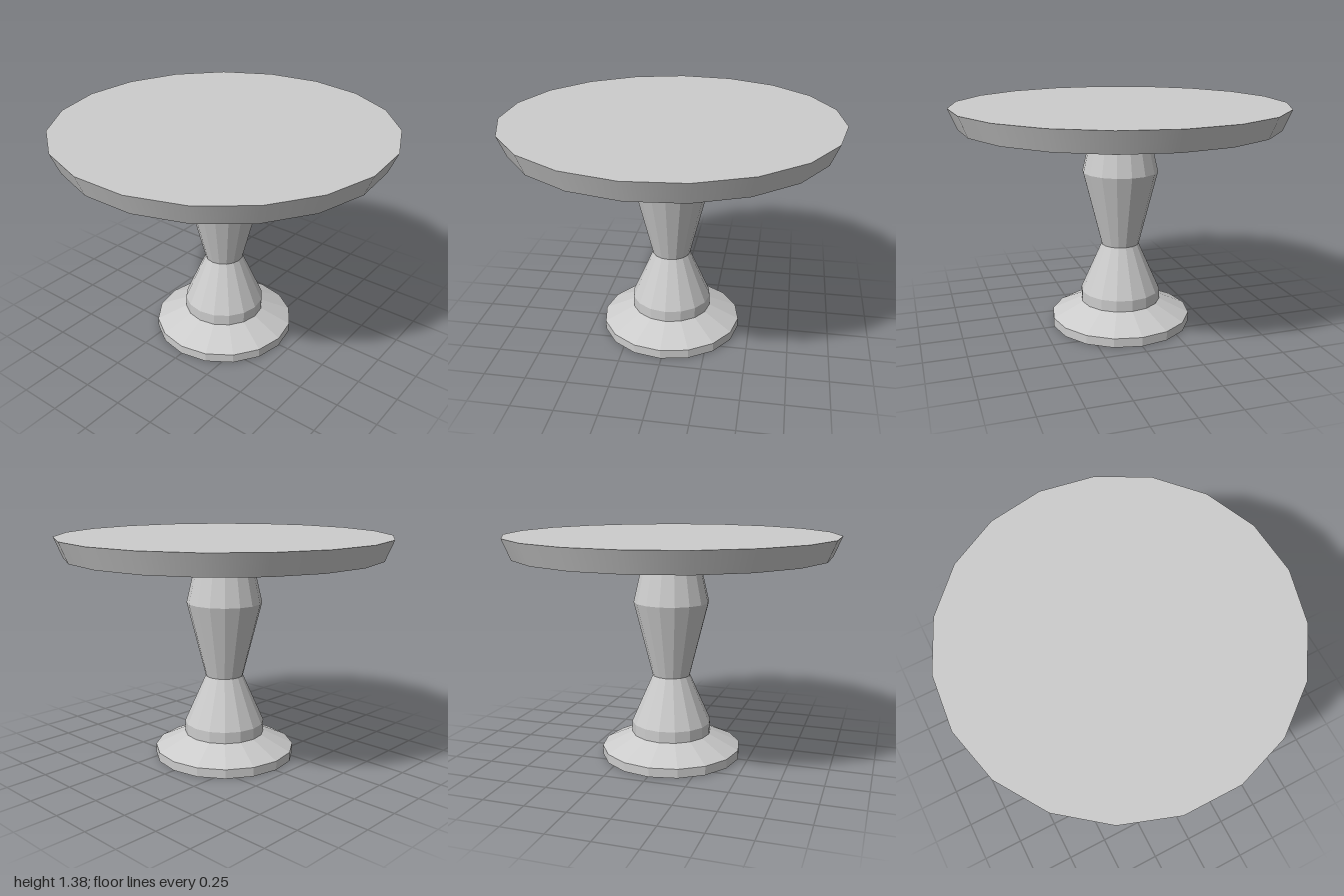
import * as THREE from 'three';

const CENTRE_X = -0.007;

export function createModel() {
  const group = new THREE.Group();
  group.name = 'pedestalTable';
  const flat = new THREE.MeshStandardMaterial({ color: 0xcccccc, flatShading: true });
  const smooth = new THREE.MeshStandardMaterial({ color: 0xcccccc });

  const add = (name, geometry, material) => {
    const mesh = new THREE.Mesh(geometry, material);
    mesh.name = name;
    mesh.position.x = CENTRE_X;
    group.add(mesh);
    return mesh;
  };

  // Faceted 16-sided turned part from [radius, height] pairs, listed bottom to top
  const turned = (name, profile) => add(name,
    new THREE.LatheGeometry(profile.map(([r, y]) => new THREE.Vector2(r, y)), 16), flat);

  // Foot: flat disc with a sloping upper face
  turned('foot', [[0, 0], [0.434, 0], [0.434, 0.056], [0.247, 0.145]]);

  // Pedestal: collar, waist and swelling up to the table top
  turned('pedestal', [[0.247, 0.145], [0.247, 0.214], [0.116, 0.511], [0.231, 0.97], [0.165, 1.254]]);

  // Table top: 19-sided tapered disc with a smooth rim and one corner on +x
  const bottom = 1.254, top = 1.377;
  const disc = new THREE.CylinderGeometry(1.0034, 0.952, top - bottom, 19, 1, false, Math.PI / 2);
  add('tableTop', disc, smooth).position.y = (bottom + top) / 2;

  return group;
}
